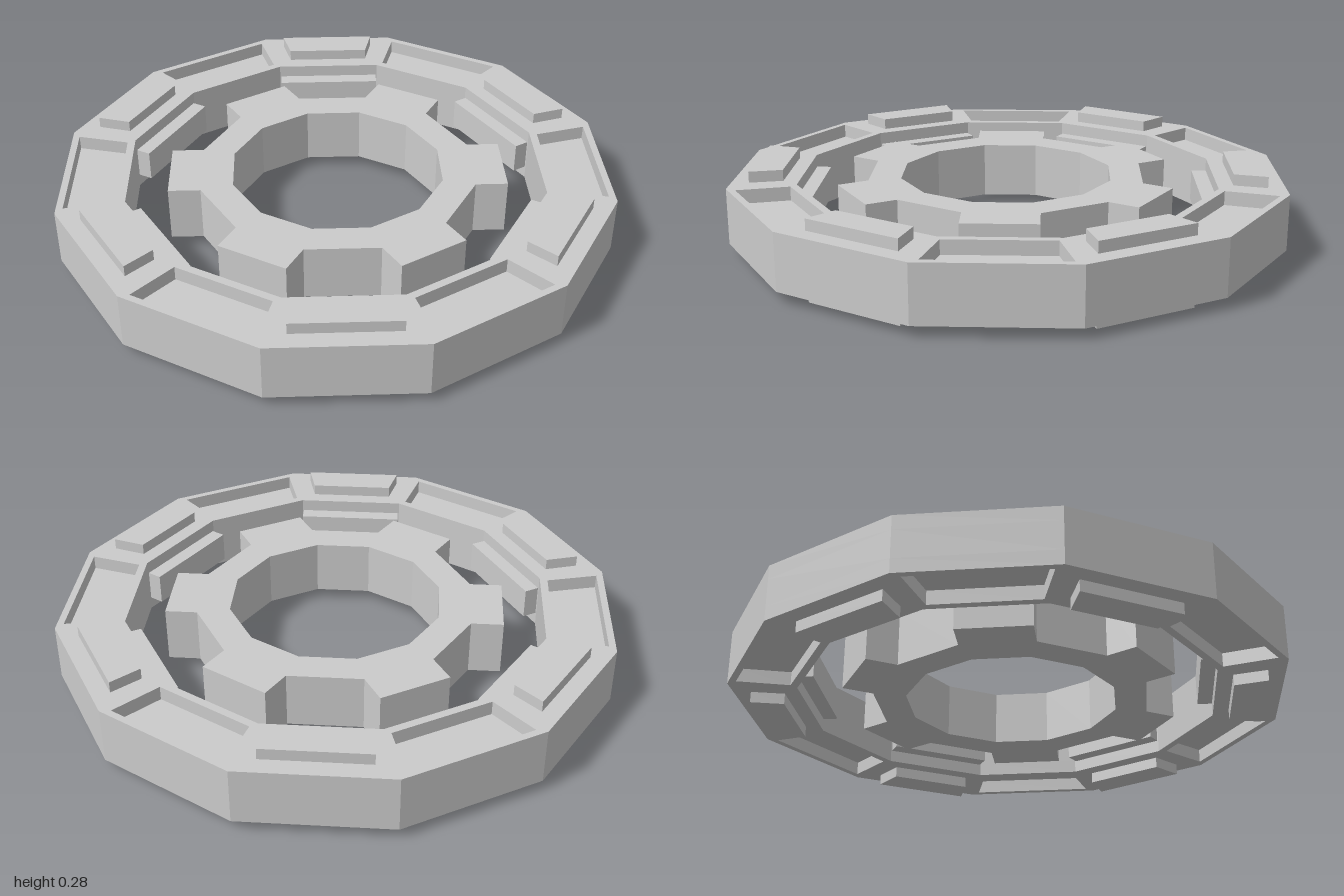
import * as THREE from 'three';

const material = new THREE.MeshStandardMaterial({ color: 0xcccccc, flatShading: true });
const SIDES = 12;
const STEP = (Math.PI * 2) / SIDES;

// Point in plan (x, z) at a distance along a segment's normal and an offset along its side
function onSegment(i, dist, offset) {
  const a = (i + 0.5) * STEP;
  return new THREE.Vector2(
    Math.cos(a) * dist - Math.sin(a) * offset,
    Math.sin(a) * dist + Math.cos(a) * offset
  );
}

function polygon(radius) {
  return Array.from({ length: SIDES }, (_, i) =>
    new THREE.Vector2(Math.cos(i * STEP) * radius, Math.sin(i * STEP) * radius));
}

// Four-cornered outline centred on one segment
function trapezoid(i, inner, outer, halfInner, halfOuter) {
  return [
    onSegment(i, inner, -halfInner), onSegment(i, outer, -halfOuter),
    onSegment(i, outer, halfOuter), onSegment(i, inner, halfInner),
  ];
}

// Plan outline with holes, extruded upright between two heights
function slab(name, outline, holes, bottom, top) {
  const shape = new THREE.Shape(outline);
  holes.forEach((h) => shape.holes.push(new THREE.Path(h)));
  const geometry = new THREE.ExtrudeGeometry(shape, { depth: top - bottom, bevelEnabled: false });
  geometry.rotateX(Math.PI / 2).translate(0, top, 0);
  const mesh = new THREE.Mesh(geometry, material);
  mesh.name = name;
  return mesh;
}

export function createModel() {
  const model = new THREE.Group();
  model.name = 'ringAssembly';
  const even = [0, 2, 4, 6, 8, 10];
  const odd = even.map((i) => i + 1);

  // Outer ring: solid core between two layers pierced by the recessed panels
  const outerRing = new THREE.Group();
  outerRing.name = 'outerRing';
  const bore = polygon(0.758);
  const recesses = odd.map((i) => trapezoid(i, 0.76, 0.942, 0.183, 0.229));
  outerRing.add(
    slab('ringCore', polygon(1), [bore], 0.09, 0.19),
    slab('ringTopLayer', polygon(1), [bore, ...recesses], 0.19, 0.24),
    slab('ringBottomLayer', polygon(1), [bore, ...recesses], 0.04, 0.09)
  );

  // Raised pads above and below, and inward tabs, on every other segment
  for (const i of even) {
    const pad = trapezoid(i, 0.788, 0.904, 0.152, 0.18);
    outerRing.add(
      slab('topPad', pad, [], 0.24, 0.28),
      slab('bottomPad', pad, [], 0, 0.04),
      slab('innerTab', trapezoid(i, 0.679, 0.74, 0.192, 0.192), [], 0.085, 0.195)
    );
  }
  model.add(outerRing);

  // Inner gear: twelve-sided ring with a square tooth on every other side
  const gearOutline = [];
  polygon(0.5).forEach((corner, i) => {
    gearOutline.push(corner);
    if (i % 2) gearOutline.push(onSegment(i, 0.597, -0.1294), onSegment(i, 0.597, 0.1294));
  });
  const gear = slab('innerGear', gearOutline, [polygon(0.383)], 0.04, 0.24);
  gear.position.z = 0.01;
  model.add(gear);

  return model;
}
